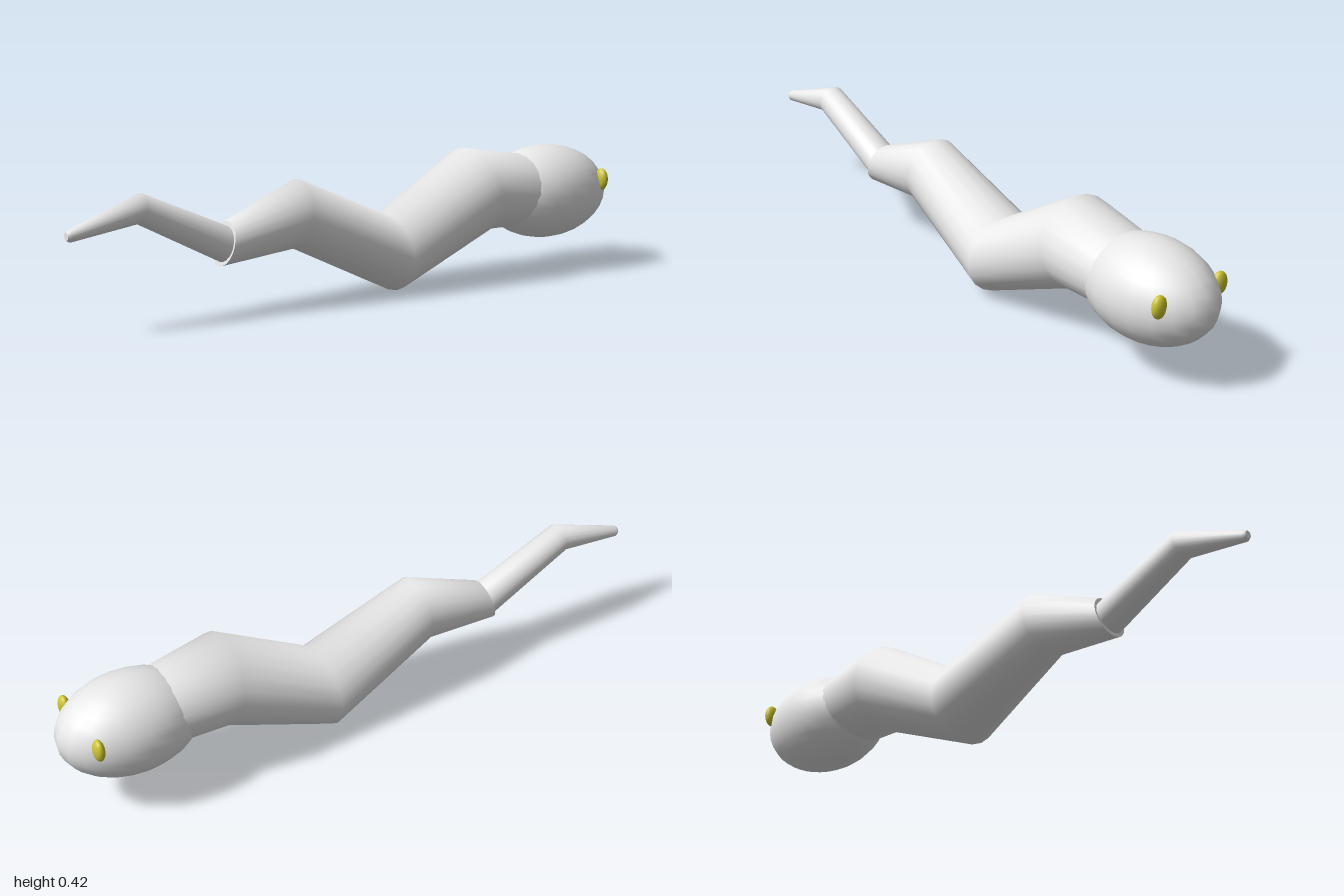
import * as THREE from 'three';

const SIDES = 20;

// Skin a tube through rings given as [topZ, topY, bottomZ, bottomY, halfWidth], with closed ends
function loft(rings) {
  const pos = [], idx = [];
  const addRing = ([tz, ty, bz, by, w]) => {
    for (let i = 0; i < SIDES; i++) {
      const a = (i / SIDES) * Math.PI * 2, k = Math.cos(a) / 2;
      pos.push(Math.sin(a) * w, (ty + by) / 2 + (ty - by) * k, (tz + bz) / 2 + (tz - bz) * k);
    }
  };
  rings.forEach(addRing);
  for (let r = 0; r < rings.length - 1; r++) {
    for (let i = 0; i < SIDES; i++) {
      const j = (i + 1) % SIDES, a = r * SIDES + i, b = r * SIDES + j;
      idx.push(a, a + SIDES, b, b, a + SIDES, b + SIDES);
    }
  }
  // Separate cap rings keep the end edges sharp
  [rings[0], rings[rings.length - 1]].forEach((ring, end) => {
    const s = pos.length / 3;
    addRing(ring);
    for (let i = 1; i < SIDES - 1; i++) {
      if (end) idx.push(s, s + i + 1, s + i);
      else idx.push(s, s + i, s + i + 1);
    }
  });
  const g = new THREE.BufferGeometry();
  g.setAttribute('position', new THREE.Float32BufferAttribute(pos, 3));
  g.setIndex(idx);
  g.computeVertexNormals();
  return g;
}

export function createModel() {
  const model = new THREE.Group();
  const skin = new THREE.MeshStandardMaterial({ name: 'pale grey skin', color: 0xe7e7e7 });
  const yellow = new THREE.MeshStandardMaterial({ name: 'olive yellow', color: 0xcdc532 });

  const add = (name, geometry, material) => {
    const mesh = new THREE.Mesh(geometry, material);
    mesh.name = name;
    model.add(mesh);
    return mesh;
  };

  // Undulating body, from inside the head to the step before the tail
  add('body', loft([
    [-0.68, 0.386, -0.64, 0.155, 0.13],
    [-0.44, 0.426, -0.50, 0.157, 0.152],
    [-0.125, 0.242, -0.13, 0.003, 0.142],
    [0.21, 0.388, 0.24, 0.18, 0.101],
    [0.465, 0.287, 0.498, 0.155, 0.063],
  ]), skin);

  // Slim tail with one bend and a blunt tip
  add('tail', loft([
    [0.44, 0.262, 0.45, 0.19, 0.05],
    [0.47, 0.274, 0.49, 0.165, 0.056],
    [0.755, 0.4, 0.775, 0.312, 0.047],
    [0.99, 0.318, 0.99, 0.282, 0.018],
    [1.0, 0.312, 1.0, 0.288, 0.012],
  ]), skin);

  // Egg-shaped head
  const head = add('head', new THREE.SphereGeometry(1, SIDES, 16), skin);
  head.scale.set(0.16, 0.153, 0.23);
  head.position.set(0, 0.256, -0.77);

  // Flattened eyes
  for (const side of [-1, 1]) {
    const eye = add(side > 0 ? 'leftEye' : 'rightEye', new THREE.SphereGeometry(1, 16, 12), yellow);
    eye.scale.set(0.026, 0.036, 0.017);
    eye.position.set(side * 0.117, 0.295, -0.921);
  }
  return model;
}
